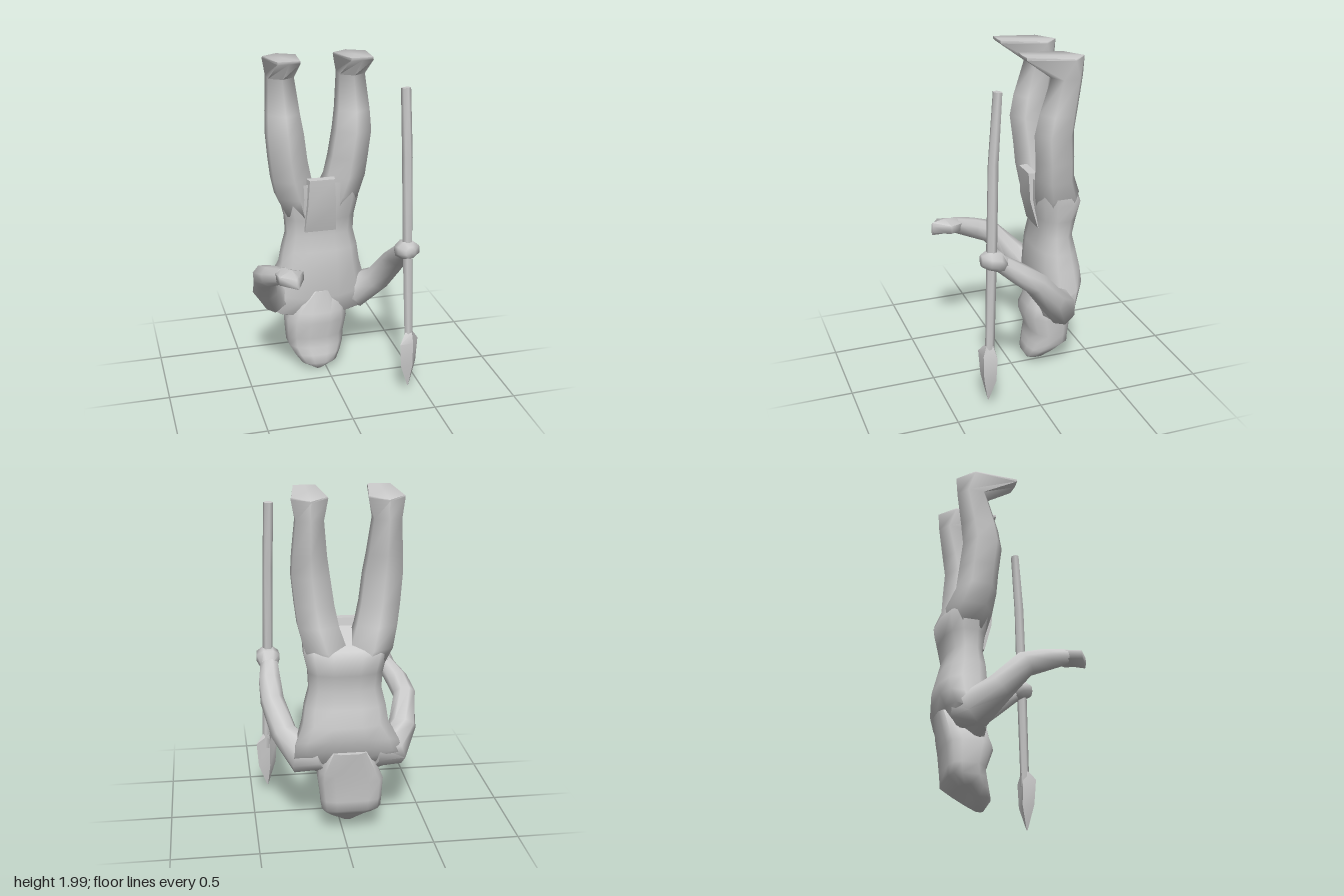
import * as THREE from 'three';
import { toCreasedNormals } from 'three/addons/utils/BufferGeometryUtils.js';

const V = (x, y, z) => new THREE.Vector3(x, y, z);
const MID = -0.03; // the body's own centre line

// Skin a list of equal-length rings and close both ends.
function loft(name, rings, crease = 1.35) {
  const n = rings[0].length, pos = [], idx = [];
  const push = (p) => pos.push(p.x, p.y, p.z);
  rings.forEach((r) => r.forEach(push));
  for (let i = 0; i < rings.length - 1; i++) {
    for (let j = 0; j < n; j++) {
      const a = i * n + j, b = i * n + (j + 1) % n;
      idx.push(a, a + n, b, b, a + n, b + n);
    }
  }
  [0, rings.length - 1].forEach((i) => {
    const c = rings[i].reduce((s, p) => s.add(p), V(0, 0, 0)).divideScalar(n);
    push(c);
    const k = pos.length / 3 - 1;
    for (let j = 0; j < n; j++) {
      const a = i * n + j, b = i * n + (j + 1) % n;
      if (i === 0) idx.push(k, a, b); else idx.push(k, b, a);
    }
  });
  const g = new THREE.BufferGeometry();
  g.setAttribute('position', new THREE.Float32BufferAttribute(pos, 3));
  g.setIndex(idx);
  const mesh = new THREE.Mesh(toCreasedNormals(g, crease),
    new THREE.MeshStandardMaterial({ color: 0xcccccc }));
  mesh.name = name;
  return mesh;
}

// Cross ring: height, x range, back and front z, tilt (raises the back).
// Powers below 1 make the front or back half boxier.
function level([y, x0, x1, zb, zf, tilt = 0], n = 12, front = 0.8, back = front) {
  const soft = (t, p) => Math.sign(t) * Math.pow(Math.abs(t), p);
  return Array.from({ length: n }, (_, j) => {
    const a = (j + 0.5) / n * Math.PI * 2, p = Math.sin(a) < 0 ? back : front;
    const dz = (zf - zb) / 2 * soft(Math.sin(a), p);
    return V((x0 + x1) / 2 + (x1 - x0) / 2 * soft(Math.cos(a), p), y - tilt * dz, (zb + zf) / 2 + dz);
  });
}

// Rings square to a path of [x, y, z, side radius, other radius].
function along(path, n = 8) {
  const p = path.map((q) => V(q[0], q[1], q[2]));
  return path.map((q, i) => {
    const t = p[Math.min(i + 1, p.length - 1)].clone().sub(p[Math.max(i - 1, 0)]).normalize();
    const u = V(0, 1, 0).cross(t).normalize(), v = u.clone().cross(t);
    return Array.from({ length: n }, (_, j) => {
      const a = (j + 0.5) / n * Math.PI * 2;
      return p[i].clone().addScaledVector(u, q[3] * Math.cos(a)).addScaledVector(v, q[4] * Math.sin(a));
    });
  });
}

// Upturned leg with the sole at the top; side is +1 or -1.
function leg(name, side) {
  const sections = [ // y, inner and outer offset from centre line, back z, front z
    [1.02, 0.0, 0.19, -0.35, -0.14],
    [1.14, 0.01, 0.245, -0.385, -0.11],
    [1.26, 0.05, 0.275, -0.335, -0.095],
    [1.38, 0.075, 0.29, -0.325, -0.09],
    [1.54, 0.097, 0.305, -0.31, -0.075],
    [1.66, 0.115, 0.3, -0.325, -0.1],
    [1.86, 0.135, 0.285, -0.352, -0.165],
  ];
  const rings = sections.map(([y, a, b, zb, zf]) => {
    const c = MID + side * (a + b) / 2, w = (b - a) / 2 / Math.cos(Math.PI / 6);
    return level([y, c - w, c + w, zb, zf], 6, 1);
  });
  const cx = MID + side * 0.208;
  // Sole outline: broad flat toe, pointed heel
  const sole = [[0.065, 0], [0, 0.005], [-0.065, 0], [-0.1, -0.27], [0, -0.36], [0.1, -0.27]];
  rings.push(sole.map(([x, z]) => V(cx + x, 1.985 + z * 0.06, z)));
  rings.push(sole.map(([x, z]) => V(cx + x * 0.97, 2 + z * 0.08, z)));
  return loft(name, rings);
}

export function createModel() {
  const model = new THREE.Group();

  // Torso from the sloping shoulders (low) up to the hips
  model.add(loft('torso', [
    [0.41, -0.24, 0.18, -0.345, -0.18, 0.9],
    [0.46, -0.355, 0.29, -0.37, -0.15, 0.85],
    [0.56, -0.33, 0.28, -0.4, -0.125, 0.5],
    [0.70, -0.265, 0.235, -0.4, -0.115],
    [0.80, -0.25, 0.22, -0.375, -0.125],
    [0.90, -0.225, 0.195, -0.35, -0.145],
    [1.00, -0.23, 0.2, -0.375, -0.13],
    [1.11, -0.255, 0.225, -0.4, -0.11],
    [1.19, -0.255, 0.225, -0.365, -0.11, -0.4],
  ].map((s) => level(s))));

  // Head with long hair squared off at the back, chin fading into the chest
  model.add(loft('head', [
    [0.01, -0.07, -0.03, -0.16, -0.12],
    [0.06, -0.155, 0.065, -0.2, -0.088],
    [0.11, -0.195, 0.1, -0.275, -0.1],
    [0.16, -0.225, 0.125, -0.345, -0.11],
    [0.22, -0.23, 0.13, -0.347, -0.122],
    [0.34, -0.238, 0.145, -0.36, -0.08],
    [0.40, -0.21, 0.14, -0.37, -0.095],
    [0.54, -0.14, 0.08, -0.395, -0.118],
  ].map((s) => level(s, 12, 0.85, 0.5))));

  model.add(leg('leftLeg', 1), leg('rightLeg', -1));

  // Loincloth flap rising from the front of the waist
  const flap = (y, x0, x1, zb, zf) => [V(x1, y, zb), V(x1 - 0.01, y, zf), V(x0 + 0.01, y, zf), V(x0, y, zb)];
  model.add(loft('loincloth', [
    flap(0.93, -0.135, 0.075, -0.2, -0.143),
    flap(1.1, -0.125, 0.065, -0.17, -0.098),
    flap(1.27, -0.115, 0.055, -0.14, -0.09),
  ], 0.4));

  // Arms reaching forward
  model.add(loft('leftArm', along([
    [0.12, 0.51, -0.27, 0.09, 0.1],
    [0.23, 0.48, -0.23, 0.09, 0.115],
    [0.325, 0.585, -0.13, 0.078, 0.08],
    [0.38, 0.74, -0.01, 0.07, 0.072],
    [0.385, 0.825, 0.1, 0.068, 0.062],
    [0.38, 0.9, 0.2, 0.055, 0.05],
  ])));
  model.add(loft('rightArm', along([
    [-0.18, 0.51, -0.27, 0.09, 0.1],
    [-0.3, 0.5, -0.235, 0.095, 0.115],
    [-0.375, 0.6, -0.13, 0.082, 0.08],
    [-0.408, 0.74, 0.0, 0.068, 0.072],
    [-0.385, 0.79, 0.12, 0.068, 0.062],
    [-0.34, 0.845, 0.25, 0.055, 0.047],
  ])));

  // Gripping hand and open hand
  model.add(loft('leftHand', along([
    [0.38, 0.885, 0.18, 0.052, 0.047],
    [0.383, 0.925, 0.23, 0.075, 0.06],
    [0.385, 0.935, 0.275, 0.07, 0.055],
    [0.385, 0.935, 0.315, 0.03, 0.035],
  ])));
  model.add(loft('rightHand', along([
    [-0.345, 0.84, 0.23, 0.055, 0.047],
    [-0.31, 0.858, 0.32, 0.09, 0.048],
    [-0.288, 0.86, 0.4, 0.012, 0.04],
  ], 6)));

  // Spear pointing down, leaning slightly
  const spear = new THREE.Group();
  spear.name = 'spear';
  spear.add(loft('spearShaft', along([
    [0.402, 0.32, 0.277, 0.026, 0.026],
    [0.383, 1.0, 0.253, 0.03, 0.03],
    [0.374, 1.48, 0.238, 0.03, 0.03],
    [0.365, 1.87, 0.208, 0.029, 0.025],
  ], 6)));
  // Flat leaf-shaped blade turned a little about its length
  const blade = [[0.055, 0.287, 0.004], [0.2, 0.285, 0.062], [0.35, 0.287, 0.075], [0.41, 0.275, 0.028]];
  spear.add(loft('spearBlade', blade.map(([y, z, w]) => [0, 1, 2, 3].map((k) => {
    const a = k * Math.PI / 2, x = w * Math.cos(a), d = Math.min(w, 0.034) * Math.sin(a), turn = -0.5;
    return V(0.4 + x * Math.cos(turn) - d * Math.sin(turn), y, z + x * Math.sin(turn) + d * Math.cos(turn));
  })), 0.5));
  model.add(spear);

  return model;
}
